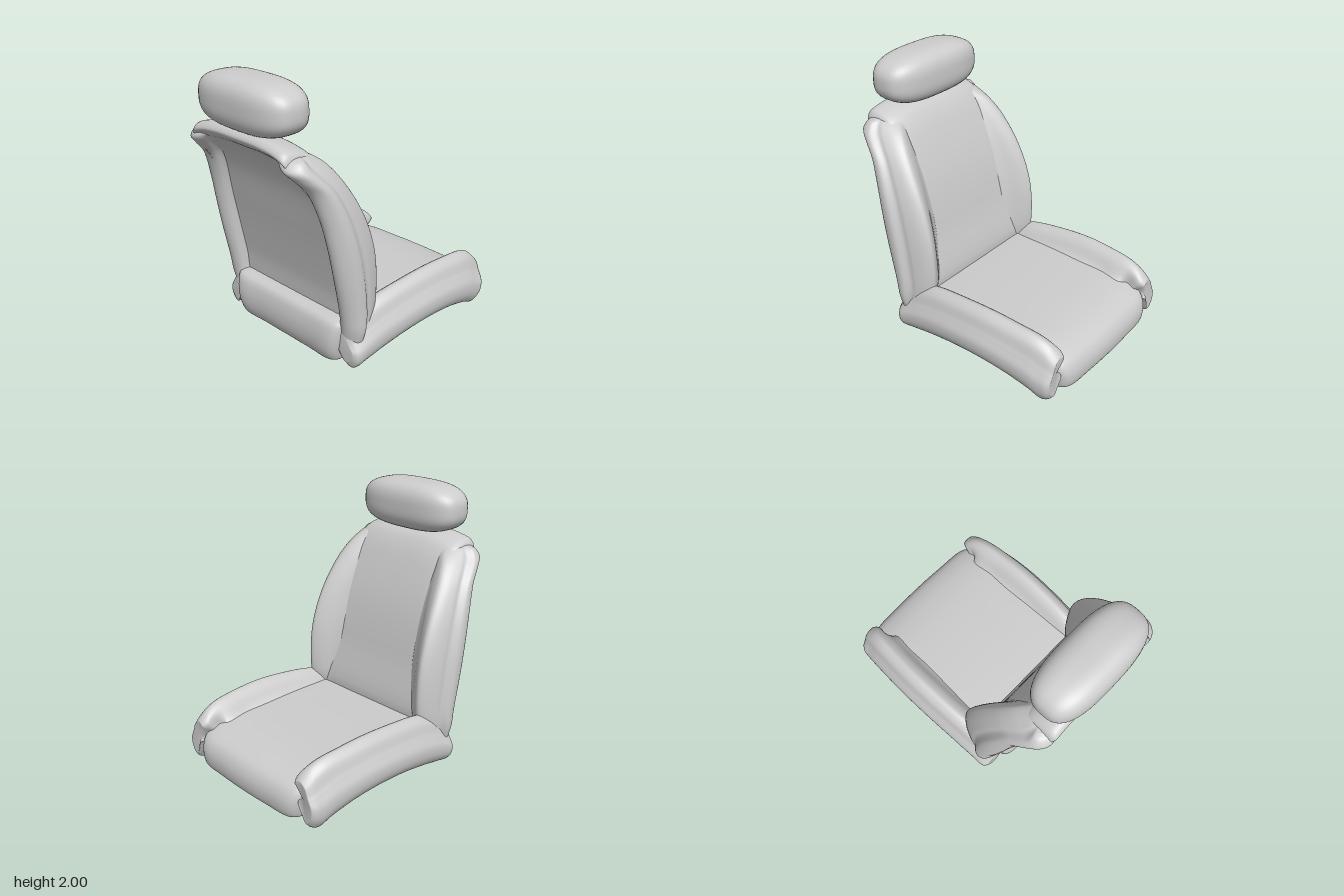
import * as THREE from 'three';
import { mergeVertices } from 'three/addons/utils/BufferGeometryUtils.js';

const V = (x, y, z) => new THREE.Vector3(x, y, z);
const grey = new THREE.MeshStandardMaterial({ color: 0xcccccc });
grey.name = 'grey upholstery';

// Smooth closed skin through control rings (all with the same point count)
function loft(rings, along = 40, around = 64) {
  const columns = rings[0].map((_, i) => new THREE.CatmullRomCurve3(rings.map(r => r[i])));
  const pos = [], idx = [];
  for (let s = 0; s <= along; s++) {
    const ring = new THREE.CatmullRomCurve3(columns.map(c => c.getPoint(s / along)), true);
    for (let k = 0; k < around; k++) pos.push(...ring.getPoint(k / around).toArray());
  }
  for (let s = 0; s < along; s++) for (let k = 0; k < around; k++) {
    const a = s * around + k, b = s * around + (k + 1) % around;
    idx.push(a, b, a + around, b, b + around, a + around);
  }
  // end caps
  for (const [start, flip] of [[0, true], [along * around, false]]) {
    const shape = [];
    for (let k = 0; k < around; k++) shape.push(V(...pos.slice((start + k) * 3, (start + k) * 3 + 3)));
    const c = shape.reduce((sum, p) => sum.add(p), V(0, 0, 0)).divideScalar(around);
    const ci = pos.length / 3;
    pos.push(c.x, c.y, c.z);
    for (let k = 0; k < around; k++) {
      const a = start + k, b = start + (k + 1) % around;
      idx.push(...(flip ? [b, a, ci] : [a, b, ci]));
    }
  }
  // turn the skin outward if its signed volume is negative
  const at = i => V(pos[i * 3], pos[i * 3 + 1], pos[i * 3 + 2]);
  let volume = 0;
  for (let i = 0; i < idx.length; i += 3) volume += at(idx[i]).dot(at(idx[i + 1]).cross(at(idx[i + 2])));
  if (volume < 0) idx.reverse();
  const g = new THREE.BufferGeometry();
  g.setAttribute('position', new THREE.Float32BufferAttribute(pos, 3));
  g.setIndex(idx);
  g.computeVertexNormals();
  return g;
}

// Shrink a ring about its centre, used to round off ends
function shrink(ring, f) {
  const c = ring.reduce((s, p) => s.add(p), V(0, 0, 0)).divideScalar(ring.length);
  return ring.map(p => p.clone().lerp(c, 1 - f));
}

export function createModel() {
  const group = new THREE.Group();
  const add = (name, geo) => {
    const m = new THREE.Mesh(geo, grey);
    m.name = name;
    group.add(m);
    return m;
  };

  // Seat cushion centre: side profile (x, y) swept across z, narrower toward the bottom
  const seatProfile = [
    [-0.5, 0.425], [-0.3, 0.44], [0, 0.45], [0.3, 0.45], [0.6, 0.435], [0.77, 0.4], [0.86, 0.35], [0.9, 0.26],
    [0.885, 0.16], [0.83, 0.15], [0.76, 0.19], [0.5, 0.22], [0.1, 0.215], [-0.3, 0.18], [-0.42, 0.14],
    [-0.5, 0.125], [-0.54, 0.2], [-0.54, 0.34]];
  const seatRing = z => seatProfile.map(([x, y]) =>
    V(x - (x > 0.7 ? 0.1 * z * z : 0), y, z * (0.92 + 0.35 * (y - 0.12))));
  add('seatCushion', loft([
    shrink(seatRing(-0.54), 0.86), shrink(seatRing(-0.51), 0.96), seatRing(-0.46), seatRing(-0.25), seatRing(0),
    seatRing(0.25), seatRing(0.46), shrink(seatRing(0.51), 0.96), shrink(seatRing(0.54), 0.86)], 32, 100));

  // Seat bolsters: section (z offset, height fraction) along x stations [x, bottom, top, outer z]
  const bolsterSection = [
    [-0.34, 0.5], [-0.25, 0.66], [-0.18, 0.92], [-0.125, 1], [-0.07, 0.9], [-0.04, 0.69], [-0.025, 0.6], [0, 0.42],
    [-0.01, 0.17], [-0.06, 0], [-0.095, 0.14], [-0.145, 0.45], [-0.25, 0.42]];
  const bolsterStations = [
    [-0.49, 0.17, 0.36, 0.62], [-0.46, 0.125, 0.4, 0.655], [-0.36, 0.14, 0.47, 0.665], [-0.2, 0.175, 0.53, 0.675],
    [0.05, 0.215, 0.565, 0.688], [0.3, 0.225, 0.58, 0.692], [0.5, 0.205, 0.57, 0.685], [0.68, 0.16, 0.55, 0.672],
    [0.77, 0.125, 0.515, 0.662], [0.82, 0.145, 0.475, 0.655]];
  const bolster = side => {
    const rings = bolsterStations.map(([x, lo, hi, zo]) => bolsterSection.map(([dz, v]) => {
      // at the front the inner edge tucks into the cushion
      const inner = x > 0.7 && dz < -0.2;
      return V(x - (inner ? 0.06 : 0), lo + (hi - lo) * v, side * (zo + dz * (inner ? 0.8 : 1)));
    }));
    const end = shrink(rings.at(-1), 0.8);
    end.forEach((p, i) => { p.x = bolsterSection[i][0] < -0.2 ? 0.77 : 0.85; });
    return loft([...rings, end], 44, 78);
  };

  // Backrest centre: side profile (x, y) swept across z, narrowing and rounding at the top
  const backProfile = [
    [-0.28, 0.4], [-0.34, 0.8], [-0.42, 1.15], [-0.52, 1.42], [-0.59, 1.56], [-0.65, 1.63], [-0.74, 1.665],
    [-0.83, 1.668], [-0.86, 1.63], [-0.82, 1.585], [-0.73, 1.52], [-0.63, 1.37], [-0.53, 1], [-0.445, 0.6], [-0.4, 0.35]];
  const backRing = f => backProfile.map(([x, y]) => {
    const top = THREE.MathUtils.smoothstep(y, 1, 1.66);
    return V(x, y - 0.06 * top * f ** 4, f * (0.52 - 0.07 * top));
  });
  add('backrestPanel', loft([
    shrink(backRing(-1), 0.9), backRing(-0.94), backRing(-0.75), backRing(-0.4), backRing(0),
    backRing(0.4), backRing(0.75), backRing(0.94), shrink(backRing(1), 0.9)], 36, 90));

  // Backrest wings with rear side rolls: stations [y, rear x, front x, outer z]
  const wingStations = [
    [0.3, -0.48, -0.28, 0.63], [0.4, -0.495, -0.24, 0.655], [0.52, -0.515, -0.205, 0.66], [0.8, -0.575, -0.207, 0.662],
    [1, -0.615, -0.25, 0.655], [1.2, -0.66, -0.33, 0.635], [1.38, -0.725, -0.435, 0.6], [1.47, -0.805, -0.5, 0.57],
    [1.53, -0.855, -0.555, 0.54], [1.58, -0.83, -0.625, 0.5]];
  // section: [fraction from rear to front, z inset]
  const wingSection = [
    [0.56, 0.33], [0.74, 0.25], [0.93, 0.175], [1, 0.12], [0.9, 0.08], [0.66, 0.045], [0.53, 0.038], [0.38, 0.002],
    [0.2, 0.008], [0.04, 0.055], [0, 0.105], [0.08, 0.155], [0.28, 0.185], [0.42, 0.25]];
  const wing = side => {
    const rings = wingStations.map(([y, r, f, zo]) =>
      wingSection.map(([u, inset]) => V(r + (f - r) * u, y, side * (zo - inset))));
    const end = shrink(rings.at(-1), 0.65);
    end.forEach(p => { p.y += 0.015; });
    return loft([...rings, end], 48, 84);
  };

  for (const [label, side] of [['left', 1], ['right', -1]]) {
    // the seat faces +x, so its flanks lie on the z axis
    add(label + 'SeatBolster', bolster(side));
    add(label + 'BackrestWing', wing(side));
    // floor rail
    const rail = add(label + 'Rail', new THREE.BoxGeometry(0.715, 0.24, 0.095));
    rail.position.set(0.143, 0.12, side > 0 ? 0.25 : -0.228);
  }

  // Headrest: a ball pushed out toward a rounded box
  let head = new THREE.SphereGeometry(1, 56, 40);
  head.deleteAttribute('uv');
  head.deleteAttribute('normal');
  head = mergeVertices(head);
  const p = head.attributes.position;
  for (let i = 0; i < p.count; i++) {
    const v = V().fromBufferAttribute(p, i);
    const n = 2.9;
    const k = (Math.abs(v.x) ** n + Math.abs(v.y) ** n + Math.abs(v.z) ** n) ** (-1 / n);
    p.setXYZ(i, v.x * k * 0.19, v.y * k * 0.173, v.z * k * 0.415);
  }
  head.computeVertexNormals();
  add('headrest', head).position.set(-0.718, 1.827, 0);

  return group;
}
